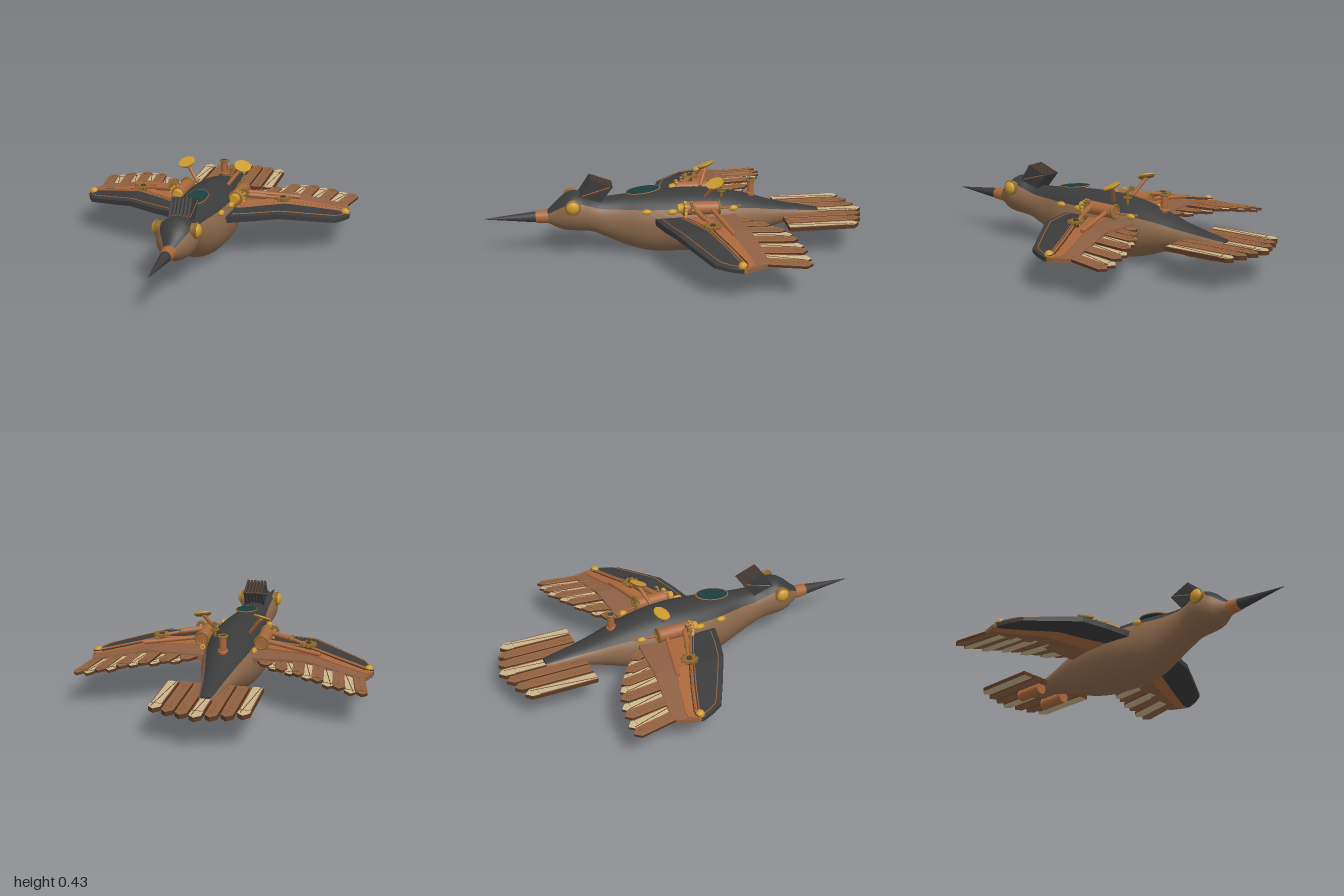
import * as THREE from 'three';

const V = (x, y, z) => new THREE.Vector3(x, y, z);
const mat = (name, color) => {
  const m = new THREE.MeshStandardMaterial({ color });
  m.name = name;
  return m;
};
const lerp = THREE.MathUtils.lerp;

export function createModel() {
  const dark = mat('charcoal', 0x3b3b3b);
  const brown = mat('body brown', 0x8a674a);
  const leather = mat('leather brown', 0x8e6044);
  const copper = mat('copper', 0xa9673c);
  const deep = mat('dark copper', 0x5a3822);
  const gold = mat('gold', 0xcb9a30);
  const brass = mat('aged brass', 0x8c6a2c);
  const beige = mat('parchment', 0xc9b48a);
  const teal = mat('teal glass', 0x1d3d3d);

  const root = new THREE.Group();
  root.name = 'mechanicalBird';
  const add = (parent, name, geo, material, pos = [0, 0, 0], rot = [0, 0, 0]) => {
    const m = new THREE.Mesh(geo, material);
    m.name = name;
    m.position.set(...pos);
    m.rotation.set(...rot);
    parent.add(m);
    return m;
  };

  // surface through rings of points
  const loft = (rings, closed, flat) => {
    const n = rings[0].length, pos = [], idx = [];
    rings.flat().forEach(p => pos.push(p.x, p.y, p.z));
    for (let i = 0; i < rings.length - 1; i++) {
      for (let j = 0; j < (closed ? n : n - 1); j++) {
        const a = i * n + j, b = i * n + (j + 1) % n;
        idx.push(a, b, a + n, b, b + n, a + n);
      }
    }
    let g = new THREE.BufferGeometry();
    g.setAttribute('position', new THREE.Float32BufferAttribute(pos, 3));
    g.setIndex(idx);
    if (flat) g = g.toNonIndexed();
    g.computeVertexNormals();
    return g;
  };
  const rod = (parent, name, a, b, r, material, r2 = r) => {
    const d = b.clone().sub(a);
    const m = add(parent, name, new THREE.CylinderGeometry(r2, r, d.length(), 20), material);
    m.position.copy(a).addScaledVector(d, 0.5);
    m.quaternion.setFromUnitVectors(V(0, 1, 0), d.normalize());
    return m;
  };
  const wire = (parent, name, pts, r, material, tension = 0, seg = 4) => add(parent, name, new THREE.TubeGeometry(
    new THREE.CatmullRomCurve3(pts, false, 'catmullrom', tension), pts.length * seg, r, 5), material);
  const gear = (r, h, teeth = 10) => {
    const s = new THREE.Shape();
    for (let i = 0; i < teeth * 4; i++) {
      const a = i / (teeth * 4) * Math.PI * 2, q = i % 4 < 2 ? r : r * 0.74;
      s[i ? 'lineTo' : 'moveTo'](Math.cos(a) * q, Math.sin(a) * q);
    }
    s.holes.push(new THREE.Path().absarc(0, 0, r * 0.35, 0, Math.PI * 2, true));
    return new THREE.ExtrudeGeometry(s, { depth: h, bevelEnabled: false, curveSegments: 8 });
  };

  // body: z, top, bottom, half width
  const profile = [
    [0.68, 0.25, 0.19, 0.03], [0.64, 0.285, 0.168, 0.055], [0.6, 0.322, 0.15, 0.083], [0.55, 0.35, 0.142, 0.102],
    [0.5, 0.345, 0.138, 0.1], [0.45, 0.325, 0.13, 0.092], [0.4, 0.312, 0.108, 0.09], [0.3, 0.317, 0.06, 0.102],
    [0.2, 0.326, 0.022, 0.13], [0.12, 0.332, 0.005, 0.148], [0, 0.336, 0.002, 0.164], [-0.1, 0.336, 0.003, 0.162],
    [-0.2, 0.327, 0.014, 0.152], [-0.3, 0.308, 0.038, 0.135], [-0.4, 0.282, 0.073, 0.11], [-0.5, 0.25, 0.105, 0.084],
    [-0.6, 0.225, 0.13, 0.062], [-0.76, 0.195, 0.152, 0.036], [-0.762, 0.175, 0.173, 0.001]];
  const sizes = new THREE.CatmullRomCurve3(profile.map(p => V(p[1], p[2], p[3])), false, 'catmullrom', 0.5);
  const shell = (a0, a1, n) => {
    const rings = [];
    for (let i = 0; i <= 72; i++) {
      const t = i / 72, f = t * (profile.length - 1), k = Math.min(Math.floor(f), profile.length - 2);
      const s = sizes.getPoint(t), z = lerp(profile[k][0], profile[k + 1][0], f - k), ring = [];
      for (let j = 0; j <= n; j++) {
        const a = lerp(a0, a1, j / n);
        ring.push(V(Math.sin(a) * s.z, (s.x + s.y) / 2 + Math.cos(a) * (s.x - s.y) / 2, z));
      }
      rings.push(ring);
    }
    return loft(rings, false, false);
  };
  const edge = 0.92;
  add(root, 'back', shell(-edge, edge, 14), dark);
  add(root, 'belly', shell(edge, Math.PI * 2 - edge, 32), brown);

  // beak
  rod(root, 'beakCollar', V(0, 0.22, 0.66), V(0, 0.22, 0.735), 0.037, copper, 0.031);
  rod(root, 'beak', V(0, 0.22, 0.73), V(0, 0.22, 1), 0.029, dark, 0.001);

  // crest plates, tilted backwards, each with a thin trim
  const crest = new THREE.Shape([[0.51, 0.335], [0.45, 0.425], [0.335, 0.38], [0.4, 0.3]].map(p => new THREE.Vector2(-p[0], p[1])));
  for (let i = 0; i < 6; i++) {
    const x = (i - 2.5) * 0.0185, h = 0.012;
    add(root, 'crestPlate', new THREE.ExtrudeGeometry(crest, { depth: h, bevelEnabled: false }), dark, [x - h / 2, 0, 0], [0, Math.PI / 2, 0]);
    add(root, 'crestTrim', new THREE.BoxGeometry(0.006, 0.006, 0.115), deep, [x, 0.4, 0.393], [-0.37, 0, 0]);
    add(root, 'crestStitch', new THREE.BoxGeometry(h + 0.004, 0.004, 0.15), copper, [x, 0.36, 0.423], [0.28, 0, 0]);
  }

  // back window and chimney
  const oval = add(root, 'backWindow', new THREE.CylinderGeometry(0.053, 0.053, 0.008, 32), teal, [0, 0.338, 0.175], [0.12, 0, 0]);
  oval.scale.z = 1.65;
  const rim = add(root, 'windowRim', new THREE.TorusGeometry(0.054, 0.003, 6, 36), copper, [0, 0.339, 0.175], [Math.PI / 2 + 0.12, 0, 0]);
  rim.scale.y = 1.65;
  rod(root, 'chimney', V(0, 0.27, -0.395), V(0, 0.37, -0.395), 0.018, copper);
  rod(root, 'chimneyMouth', V(0, 0.365, -0.395), V(0, 0.373, -0.395), 0.016, dark);
  add(root, 'chimneyCap', new THREE.TorusGeometry(0.021, 0.006, 8, 20), brass, [0, 0.37, -0.395], [Math.PI / 2, 0, 0]);
  add(root, 'chimneyFoot', new THREE.TorusGeometry(0.02, 0.006, 8, 20), copper, [0, 0.295, -0.395], [Math.PI / 2 - 0.3, 0, 0]);

  // valve beside the spine
  rod(root, 'valveStem', V(0.08, 0.31, -0.225), V(0.08, 0.385, -0.225), 0.007, brass);
  add(root, 'valveHandle', new THREE.BoxGeometry(0.05, 0.007, 0.012), brass, [0.08, 0.375, -0.225]);
  add(root, 'valveWheel', new THREE.TorusGeometry(0.02, 0.004, 6, 16), brass, [0.08, 0.345, -0.225], [Math.PI / 2, 0, 0]);

  // pointed feather lying towards -z, with a trim line and a seam
  const feather = (parent, name, L, w, h, light) => {
    const g = new THREE.Group();
    g.name = name;
    const s = new THREE.Shape([[-w / 2, 0], [w / 2, 0], [w / 2, L - w * 0.5], [0, L], [-w / 2, L - w * 0.5]].map(p => new THREE.Vector2(...p)));
    const geo = new THREE.ExtrudeGeometry(s, { depth: h, bevelEnabled: false }).rotateX(-Math.PI / 2);
    add(g, 'vane', geo, light ? [beige, deep] : [leather, deep]);
    const [a, b] = [0, L - w * 0.5].map(d => [-1, 1].map(k => V(k * w * 0.46, h, -d)));
    wire(g, 'trim', [a[0], b[0], V(0, h, -L + 0.003), b[1], a[1]], 0.0028, light ? leather : copper, 0, 1);
    const zig = [], n = Math.round(L / 0.022);
    for (let i = 0; i <= n; i++) zig.push(V((i % 2 - 0.5) * w * 0.45, h, -lerp(0.01, L - w * 0.4, i / n)));
    wire(g, 'seam', light ? [V(-w * 0.3, h, 0), V(w * 0.3, h, -L + w * 0.5)] : zig, 0.002, light ? deep : brass, 0, 1);
    parent.add(g);
    return g;
  };

  // tail fan
  for (let i = -3; i <= 3; i++) {
    const k = Math.abs(i);
    const f = feather(root, 'tailFeather', [0.44, 0.42, 0.4, 0.37][k], 0.058, 0.022, k === 0 || k === 3);
    f.position.set(i * 0.07, 0.158, -0.56);
  }

  // everything on the left side, mirrored afterwards
  const half = new THREE.Group();
  half.name = 'leftSide';
  root.add(half);

  const wingY = x => x < 0.4 ? lerp(0.212, 0.23, (x - 0.1) / 0.3) : lerp(0.23, 0.171, (x - 0.4) / 0.33);
  const slab = (stations, scale) => {
    const rings = stations.map(([x, f, b]) => {
      const y = wingY(x), t = lerp(0.021, 0.012, (x - 0.1) / 0.63) * scale;
      return [V(x, y + t, b), V(x, y + t * 0.6, f), V(x, y - t, f), V(x, y - t, b)];
    });
    const cap = r => r.map(() => r[0].clone().add(r[2]).multiplyScalar(0.5));
    return loft([cap(rings[0]), ...rings, cap(rings.at(-1))], true, true);
  };
  // wing: x, leading edge, spar line, strip edge, trailing edge
  const plan = [[0.1, 0.135, 0, -0.12, -0.29], [0.165, 0.122, -0.02, -0.14, -0.3], [0.28, 0.092, -0.075, -0.175, -0.31],
    [0.4, 0.052, -0.125, -0.21, -0.32], [0.54, -0.02, -0.18, -0.25, -0.34], [0.67, -0.09, -0.225, -0.28, -0.355],
    [0.7, -0.14, -0.235, -0.28, -0.34], [0.728, -0.205, -0.222, -0.235, -0.25]];
  const cut = (a, b) => plan.map(p => [p[0], p[a], p[b]]);
  add(half, 'wingFront', slab(cut(1, 2), 1), dark);
  add(half, 'wingStrip', slab(cut(2, 3), 1), copper);
  add(half, 'wingRear', slab(cut(3, 4), 0.85), leather);
  const along = (c, inset, lift) => plan.slice(1).map(p => V(p[0], wingY(p[0]) + lift, p[c] + inset));
  wire(half, 'leadingSeam', along(1, -0.03, 0.017), 0.0025, copper);
  wire(half, 'wingSpar', along(2, 0, 0.018), 0.006, copper);
  wire(half, 'sparSeam', along(2, 0.015, 0.018), 0.003, copper);
  wire(half, 'rearSeam', along(2, -0.012, 0.018), 0.003, deep);

  // wing feathers, outermost first; the pale ones are narrower and tucked under
  const tips = [[0.708, -0.562], [0.652, -0.567], [0.595, -0.562], [0.542, -0.555], [0.49, -0.54], [0.438, -0.522],
    [0.392, -0.5], [0.348, -0.47], [0.304, -0.44], [0.262, -0.408], [0.222, -0.372]];
  tips.forEach(([x, z], i) => {
    const t = i / 10, bx = lerp(0.66, 0.165, t), bz = lerp(-0.32, -0.25, t), light = i % 2 === 1;
    const f = feather(half, 'wingFeather', Math.hypot(x - bx, z - bz), light ? 0.052 : 0.058, 0.014, light);
    f.rotation.order = 'ZYX';
    f.rotation.set(0, -Math.atan2(x - bx, bz - z), lerp(-0.17, 0.05, t));
    f.position.set(bx, wingY(bx) - (light ? 0.014 : 0.006), bz);
  });
  add(half, 'wingTipKnob', new THREE.SphereGeometry(0.023, 16, 12), gold, [0.705, 0.187, -0.22]);

  // wing drive: engine, arms and gears
  rod(half, 'engine', V(0.155, 0.28, -0.2), V(0.155, 0.285, -0.01), 0.034, copper);
  [-0.2, -0.02].forEach(z => add(half, 'engineBand', new THREE.TorusGeometry(0.034, 0.006, 8, 24), brass, [0.155, 0.283, z]));
  rod(half, 'engineNose', V(0.155, 0.285, -0.015), V(0.155, 0.285, 0.015), 0.028, gold, 0.022);
  add(half, 'engineGear', gear(0.042, 0.012, 12), gold, [0.165, 0.285, -0.03]);
  add(half, 'smallGear', gear(0.028, 0.012), brass, [0.195, 0.305, -0.06]);
  rod(half, 'driveArm', V(0.17, 0.295, -0.06), V(0.3, 0.28, -0.1), 0.014, copper);
  rod(half, 'driveRod', V(0.29, 0.28, -0.1), V(0.37, 0.268, -0.13), 0.008, copper);
  rod(half, 'rearRod', V(0.17, 0.28, -0.16), V(0.46, 0.25, -0.225), 0.011, copper);
  add(half, 'wingGear', gear(0.044, 0.013, 9), brass, [0.385, 0.262, -0.13], [-Math.PI / 2, 0, 0]);
  rod(half, 'gearPin', V(0.385, 0.235, -0.13), V(0.385, 0.28, -0.13), 0.014, deep);
  add(half, 'armJoint', new THREE.SphereGeometry(0.016, 14, 10), brass, [0.29, 0.281, -0.1]);

  // dish on a slanted stem, facing up and forwards
  rod(half, 'dishStem', V(0.085, 0.315, -0.14), V(0.15, 0.403, -0.182), 0.01, copper);
  rod(half, 'dishBack', V(0.152, 0.402, -0.182), V(0.1535, 0.409, -0.179), 0.038, brass, 0.044);
  rod(half, 'dish', V(0.1535, 0.409, -0.179), V(0.155, 0.415, -0.1765), 0.045, gold);

  // pipe and studs along the shoulder
  wire(half, 'shoulderPipe', [V(0.122, 0.272, -0.32), V(0.142, 0.272, -0.22), V(0.15, 0.27, -0.08)], 0.006, copper, 0.5);
  [[0.127, 0.262, 0.17], [0.147, 0.264, 0.04], [0.132, 0.264, -0.28]].forEach(p => {
    const m = add(half, 'shoulderStud', new THREE.SphereGeometry(0.015, 14, 10), gold, p);
    m.scale.z = 1.7;
  });

  // eye
  add(half, 'eyeRim', new THREE.TorusGeometry(0.035, 0.006, 8, 28), brass, [0.1, 0.295, 0.545], [0, Math.PI / 2, 0]);
  rod(half, 'eyeSocket', V(0.075, 0.295, 0.545), V(0.1, 0.295, 0.545), 0.035, brass);
  const eye = add(half, 'eye', new THREE.SphereGeometry(0.035, 24, 16), gold, [0.1, 0.295, 0.545]);
  eye.scale.x = 0.7;

  // tail thruster
  rod(half, 'thruster', V(0.085, 0.134, -0.59), V(0.085, 0.134, -0.745), 0.031, copper);
  add(half, 'thrusterRing', new THREE.TorusGeometry(0.027, 0.006, 8, 24), copper, [0.085, 0.134, -0.745]);
  rod(half, 'thrusterCore', V(0.085, 0.134, -0.74), V(0.085, 0.134, -0.75), 0.023, gold);

  // mirrored right side, with corner order reversed
  const other = new THREE.Group();
  other.name = 'rightSide';
  root.updateMatrixWorld(true);
  half.traverse(o => {
    if (!o.isMesh) return;
    const g = o.geometry.clone().applyMatrix4(new THREE.Matrix4().makeScale(-1, 1, 1).multiply(o.matrixWorld));
    const idx = g.index ? Array.from(g.index.array) : Array.from({ length: g.attributes.position.count }, (_, i) => i);
    for (let i = 0; i < idx.length; i += 3) [idx[i], idx[i + 1]] = [idx[i + 1], idx[i]];
    g.setIndex(idx);
    add(other, o.name, g, o.material);
  });
  root.add(other);
  return root;
}
